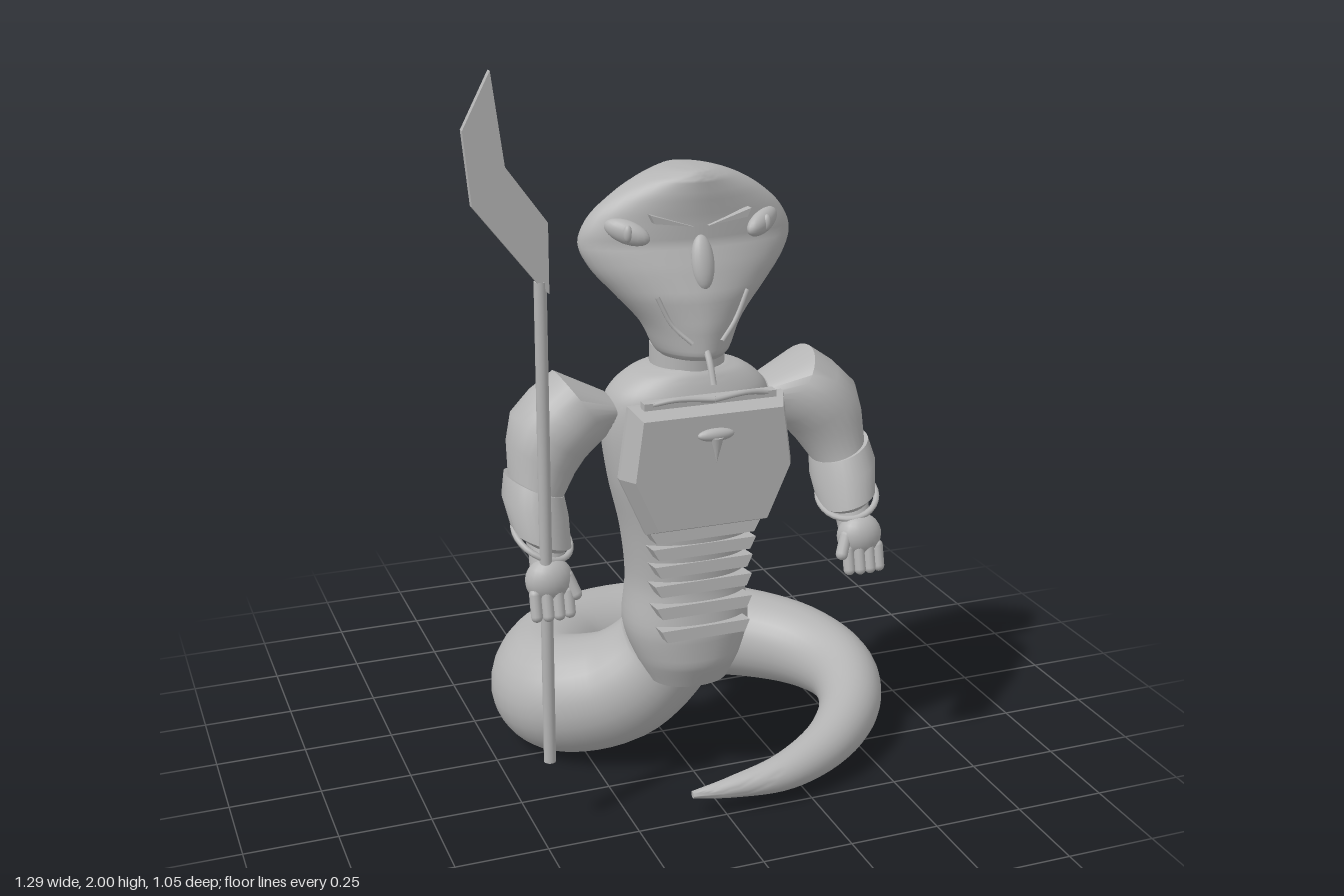
import * as THREE from 'three';
import { toCreasedNormals } from 'three/addons/utils/BufferGeometryUtils.js';

const CX = -0.02; // the body's own centre line
const V = (x, y, z) => new THREE.Vector3(x, y, z);

export function createModel() {
  const model = new THREE.Group();
  const clay = new THREE.MeshStandardMaterial({ color: 0xb4b4b4 });
  clay.name = 'clay grey';

  function add(name, geo, pos = [0, 0, 0], rot = [0, 0, 0], scale = [1, 1, 1], parent = model) {
    const m = new THREE.Mesh(geo, clay);
    m.name = name;
    m.position.set(...pos);
    m.rotation.set(...rot);
    m.scale.set(...scale);
    parent.add(m);
    return m;
  }

  // Closed skin over a list of rings, always facing outwards
  function skin(rings, crease = 0.7) {
    const n = rings[0].length, pts = rings.flat(), idx = [];
    for (let i = 0; i < rings.length - 1; i++)
      for (let j = 0; j < n; j++) {
        const a = i * n + j, b = i * n + (j + 1) % n;
        idx.push(a, b, a + n, b, b + n, a + n);
      }
    const centre = ring => ring.reduce((s, p) => s.add(p), V(0, 0, 0)).divideScalar(n);
    const last = (rings.length - 1) * n, c0 = pts.length;
    pts.push(centre(rings[0]), centre(rings[rings.length - 1]));
    for (let j = 0; j < n; j++) {
      const k = (j + 1) % n;
      idx.push(c0, k, j, c0 + 1, last + j, last + k);
    }
    let volume = 0;
    for (let i = 0; i < idx.length; i += 3)
      volume += pts[idx[i]].dot(V(0, 0, 0).crossVectors(pts[idx[i + 1]], pts[idx[i + 2]]));
    if (volume < 0) idx.reverse();
    const g = new THREE.BufferGeometry().setFromPoints(pts);
    g.setIndex(idx);
    return toCreasedNormals(g, crease);
  }

  // Upright loft from sections [y, half width, back z, front z]
  function loft(sections, power, steps) {
    const a = new THREE.CatmullRomCurve3(sections.map(s => V(s[0], s[1], 0)), false, 'centripetal');
    const seg = sections.length - 1, rings = [];
    for (let i = 0; i <= steps; i++) {
      const t = i / steps, k = Math.min(Math.floor(t * seg), seg - 1), f = t * seg - k;
      const p = a.getPoint(t);
      const zb = THREE.MathUtils.lerp(sections[k][2], sections[k + 1][2], f);
      const zf = THREE.MathUtils.lerp(sections[k][3], sections[k + 1][3], f);
      const ring = [];
      for (let j = 0; j < 40; j++) {
        const q = j / 40 * Math.PI * 2, c = Math.cos(q), s = Math.sin(q);
        const e = v => Math.sign(v) * Math.abs(v) ** (2 / power);
        ring.push(V(CX + p.y * e(c), p.x, (zb + zf) / 2 + (zf - zb) / 2 * e(s)));
      }
      rings.push(ring);
    }
    return skin(rings);
  }

  // Coiled tail: path points with radii
  const path = [
    [-0.02, 0.48, 0.2, 0.14], [-0.05, 0.34, 0.15, 0.145], [-0.16, 0.22, 0.09, 0.16], [-0.29, 0.168, -0.01, 0.167],
    [-0.31, 0.16, -0.13, 0.162], [-0.2, 0.155, -0.3, 0.155], [0.03, 0.15, -0.378, 0.147], [0.28, 0.145, -0.31, 0.14],
    [0.47, 0.14, -0.15, 0.125], [0.54, 0.13, 0.04, 0.106], [0.49, 0.115, 0.23, 0.088], [0.36, 0.095, 0.38, 0.07],
    [0.19, 0.075, 0.465, 0.052], [0.03, 0.065, 0.48, 0.03], [-0.09, 0.06, 0.475, 0.01]];
  const line = new THREE.CatmullRomCurve3(path.map(p => V(p[0], p[1], p[2])), false, 'catmullrom');
  const girth = new THREE.CatmullRomCurve3(path.map(p => V(p[3], 0, 0)), false, 'catmullrom');
  const tail = [], normal = V(1, 0, 0);
  for (let i = 0; i <= 84; i++) {
    const t = i / 84, T = line.getTangent(t), p = line.getPoint(t), r = girth.getPoint(t).x;
    normal.addScaledVector(T, -normal.dot(T)).normalize();
    const B = V(0, 0, 0).crossVectors(T, normal);
    tail.push(Array.from({ length: 28 }, (_, j) => {
      const q = j / 28 * Math.PI * 2;
      return p.clone().addScaledVector(normal, r * Math.cos(q)).addScaledVector(B, r * Math.sin(q));
    }));
  }
  add('tail', skin(tail, 1));

  // Torso, neck and hooded head
  add('torso', loft([
    [0.31, 0.11, 0.15, 0.345], [0.38, 0.145, 0.1, 0.375], [0.47, 0.172, 0.075, 0.38], [0.6, 0.162, 0.085, 0.36],
    [0.75, 0.18, 0.085, 0.37], [0.9, 0.215, 0.08, 0.385], [1.05, 0.232, 0.085, 0.375],
    [1.13, 0.215, 0.1, 0.365], [1.18, 0.16, 0.125, 0.345], [1.2, 0.1, 0.145, 0.33]], 2.2, 45));
  add('neck', new THREE.CylinderGeometry(0.098, 0.1, 0.1, 32), [CX, 1.2, 0.235]);
  add('head', loft([
    [1.235, 0.085, 0.17, 0.375], [1.25, 0.1, 0.15, 0.385], [1.32, 0.135, 0.13, 0.385], [1.4, 0.205, 0.115, 0.375],
    [1.47, 0.265, 0.11, 0.35], [1.53, 0.289, 0.11, 0.325], [1.59, 0.265, 0.115, 0.325], [1.65, 0.2, 0.125, 0.33],
    [1.69, 0.13, 0.13, 0.33], [1.71, 0.07, 0.145, 0.315], [1.715, 0.02, 0.19, 0.27]], 1.75, 50));

  // Face
  const ball = new THREE.SphereGeometry(1, 20, 14);
  for (const s of [-1, 1]) {
    const x = d => CX + s * d;
    add('eye', ball, [x(0.183), 1.565, 0.292], [0, s * 0.6, s * 0.3], [0.062, 0.03, 0.025]);
    add('pupil', ball, [x(0.187), 1.565, 0.312], [0, s * 0.5, 0], [0.012, 0.022, 0.012]);
    const brow = new THREE.Shape([[0.02, 1.575], [0.135, 1.612], [0.125, 1.59]].map(p => new THREE.Vector2(s * p[0], p[1])));
    add('brow', new THREE.ExtrudeGeometry(brow, { depth: 0.025, bevelEnabled: false }), [CX, 0, 0.31]);
    add('mouth', new THREE.TubeGeometry(new THREE.CatmullRomCurve3([
      V(x(0.122), 1.405, 0.347), V(x(0.085), 1.33, 0.357), V(x(0.04), 1.285, 0.381)]), 10, 0.006, 6));
  }
  add('nose', ball, [CX, 1.485, 0.345], [-0.25, 0, 0], [0.03, 0.07, 0.022]);
  add('tongue', new THREE.TubeGeometry(new THREE.CatmullRomCurve3([
    V(CX, 1.27, 0.37), V(CX, 1.235, 0.4), V(CX, 1.185, 0.425)]), 10, 0.009, 8));

  // Bevelled chest plate, collar bar and ornament
  const half = [[0.15, 0.81], [0.212, 0.95], [0.19, 1.11]];
  const outline = [...half, ...half.map(p => [-p[0], p[1]]).reverse()].map(p => new THREE.Vector2(...p));
  add('chestPlate', new THREE.ExtrudeGeometry(new THREE.Shape(outline),
    { depth: 0.015, bevelSize: 0.025, bevelThickness: 0.055, bevelSegments: 1 }), [CX, 0, 0.365]);
  add('collarBar', new THREE.BoxGeometry(0.36, 0.018, 0.03), [CX, 1.14, 0.395]);
  for (const s of [-1, 1])
    add('collarStrap', new THREE.TubeGeometry(new THREE.CatmullRomCurve3([
      V(CX + s * 0.17, 1.14, 0.4), V(CX + s * 0.1, 1.155, 0.42), V(CX, 1.15, 0.435)]), 10, 0.007, 6));
  add('ornamentDisc', ball, [CX, 1.06, 0.445], [0, 0, 0], [0.05, 0.017, 0.016]);
  add('ornamentSpike', new THREE.ConeGeometry(0.018, 0.07, 10), [CX, 1.02, 0.45], [Math.PI, 0, 0]);

  // Belly ribs
  [[0.765, 0.155, 0.366], [0.715, 0.145, 0.362], [0.663, 0.138, 0.358], [0.608, 0.137, 0.357], [0.548, 0.135, 0.365], [0.485, 0.125, 0.376]]
    .forEach(([y, w, z]) => {
      const rib = new THREE.Shape([[-w, 0.014], [w, 0.014], [w * 0.88, -0.018], [-w * 0.88, -0.018]].map(p => new THREE.Vector2(...p)));
      add('bellyRib', new THREE.ExtrudeGeometry(rib, { depth: 0.06, bevelEnabled: false }), [CX, y, z - 0.045], [-0.12, 0, 0]);
    });

  // Spine ridges
  for (let i = 0; i < 13; i++) {
    if (i === 8) continue;
    add('spineRidge', new THREE.BoxGeometry(0.066, 0.022, 0.035), [CX, 0.56 + i * 0.042, 0.084], [0.35, 0, 0]);
  }

  // Arms: rings given by outer and inner points, centre z and half depth
  const ARM = [
    [0.2, 1.13, 0.18, 1.06, 0.22, 0.07], [0.335, 1.2, 0.21, 1.02, 0.225, 0.112], [0.4, 1.155, 0.24, 1.0, 0.23, 0.122],
    [0.455, 1.1, 0.27, 0.975, 0.235, 0.12], [0.472, 1.03, 0.3, 0.94, 0.245, 0.108], [0.475, 0.95, 0.335, 0.89, 0.265, 0.092],
    [0.478, 0.9, 0.345, 0.85, 0.28, 0.088]];
  const CUFF = [[0.485, 0.955, 0.335, 0.89, 0.265, 0.1], [0.498, 0.9, 0.33, 0.84, 0.285, 0.106],
    [0.485, 0.82, 0.335, 0.77, 0.325, 0.088], [0.46, 0.8, 0.355, 0.765, 0.335, 0.07]];
  const WRIST = [[0.46, 0.83, 0.35, 0.79, 0.33, 0.065], [0.455, 0.77, 0.365, 0.75, 0.365, 0.048], [0.46, 0.72, 0.365, 0.71, 0.39, 0.044]];
  for (const s of [1, -1]) {
    const side = s > 0 ? 'left' : 'right';
    const mx = x => s > 0 ? x : 2 * CX - x;
    const limb = list => skin(list.map(([ox, oy, ix, iy, z, d]) => Array.from({ length: 28 }, (_, j) => {
      const q = j / 28 * Math.PI * 2, u = (1 + Math.cos(q)) / 2;
      return V(mx(ix + (ox - ix) * u), iy + (oy - iy) * u, z + d * Math.sin(q));
    })), 0.75);
    add(side + 'UpperArm', limb(ARM));
    add(side + 'Cuff', limb(CUFF));
    add(side + 'Wrist', limb(WRIST));
    const band = new THREE.TorusGeometry(0.078, 0.008, 8, 28);
    add(side + 'CuffBand', band, [mx(0.41), 0.8, 0.328], [Math.PI / 2 + 0.4, s * 0.3, 0], [1, 1.15, 1]);
    // Fist
    add(side + 'Palm', ball, [mx(0.415), 0.71, 0.4], [0, 0, 0], [0.062, 0.06, 0.048]);
    for (let i = 0; i < 4; i++)
      add(side + 'Finger', new THREE.CapsuleGeometry(0.0155, 0.055, 6, 12), [mx(0.372 + i * 0.029), 0.655, 0.438 - Math.abs(i - 1.5) * 0.006], [-0.25, 0, 0]);
    add(side + 'Thumb', new THREE.CapsuleGeometry(0.017, 0.05, 6, 12), [mx(0.362), 0.695, 0.42], [-0.3, 0, -s * 0.35]);
  }

  // Staff with a flat curved blade
  add('staffShaft', new THREE.CylinderGeometry(0.016, 0.016, 1.29, 16), [-0.465, 0.845, 0.41]);
  const blade = new THREE.Shape([[-0.578, 2], [-0.648, 1.865], [-0.63, 1.685], [-0.468, 1.48], [-0.446, 1.46], [-0.446, 1.635], [-0.548, 1.775]]
    .map(p => new THREE.Vector2(...p)));
  add('staffBlade', new THREE.ExtrudeGeometry(blade, { depth: 0.02, bevelEnabled: false }), [0, 0, 0.403]);

  return model;
}
